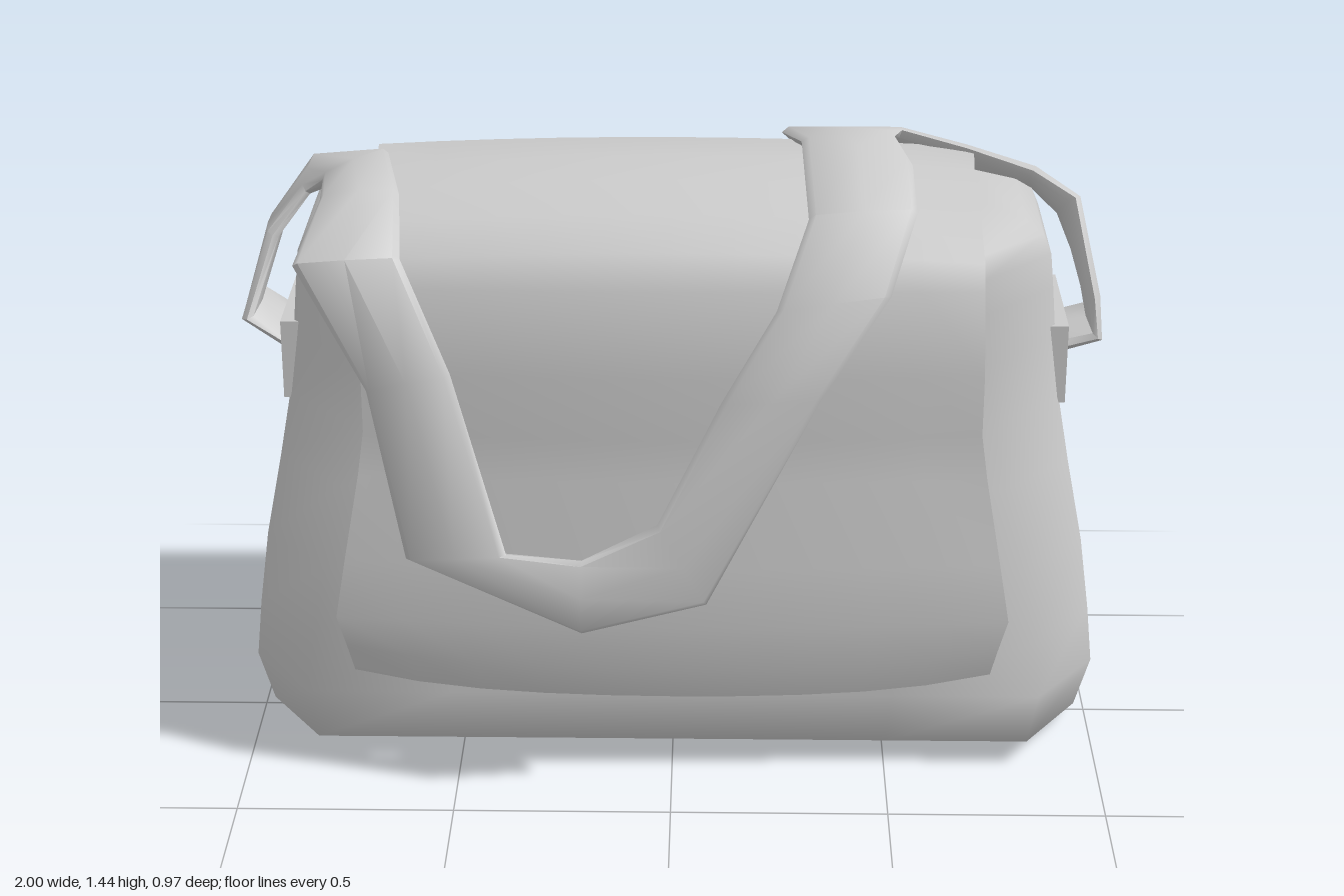
import * as THREE from 'three';
import { toCreasedNormals } from 'three/addons/utils/BufferGeometryUtils.js';

const material = new THREE.MeshStandardMaterial({ color: 0xcccccc });

// Closed skin over a row of equal-length rings, capped at both ends, always facing outward.
function loft(rings, crease) {
  const n = rings[0].length;
  const pts = rings.flat();
  const index = [];
  for (let r = 0; r < rings.length - 1; r++) {
    for (let i = 0; i < n; i++) {
      const j = (i + 1) % n;
      const a = r * n + i, b = r * n + j;
      index.push(a, b, a + n, b, b + n, a + n);
    }
  }
  for (const r of [0, rings.length - 1]) {
    const centre = new THREE.Vector3();
    rings[r].forEach((p) => centre.addScaledVector(p, 1 / n));
    const c = pts.push(centre) - 1;
    for (let i = 0; i < n; i++) {
      const a = r * n + i, b = r * n + ((i + 1) % n);
      if (r === 0) index.push(c, b, a);
      else index.push(c, a, b);
    }
  }
  let volume = 0;
  const cross = new THREE.Vector3();
  for (let i = 0; i < index.length; i += 3) {
    volume += pts[index[i]].dot(cross.crossVectors(pts[index[i + 1]], pts[index[i + 2]]));
  }
  if (volume < 0) index.reverse();
  const g = new THREE.BufferGeometry().setFromPoints(pts);
  g.setIndex(index);
  return toCreasedNormals(g, crease);
}

function part(name, geometry) {
  const mesh = new THREE.Mesh(geometry, material);
  mesh.name = name;
  return mesh;
}

// Rectangle with cut corners in plan at height y; the cuts widen towards the top.
function bodyRing([y, hx, front, back]) {
  const cz = (front + back) / 2, hz = (front - back) / 2;
  const ix = hx * (0.87 - 0.06 * Math.min(y, 1)), iz = hz * 0.5;
  return [
    [hx, -iz], [hx, iz], [ix, hz], [ix * 0.6, hz], [-ix * 0.6, hz], [-ix, hz],
    [-hx, iz], [-hx, -iz], [-ix, -hz], [-ix * 0.6, -hz], [ix * 0.6, -hz], [ix, -hz],
  ].map(([x, z]) => new THREE.Vector3(x, y, cz + z));
}

function createBody() {
  // height, half width, front z, back z
  const rows = [
    [0, 0.95, 0.07, -0.3], [0.06, 0.965, 0.265, -0.487], [0.18, 1.0, 0.265, -0.487],
    [0.32, 0.985, 0.265, -0.487], [0.5, 0.96, 0.255, -0.47], [0.7, 0.92, 0.235, -0.455],
    [0.85, 0.893, 0.215, -0.46], [1.0, 0.878, 0.21, -0.47], [1.12, 0.868, 0.205, -0.48],
    [1.2, 0.86, 0.2, -0.475], [1.25, 0.84, 0.19, -0.43], [1.28, 0.8, 0.16, -0.39],
    [1.3, 0.71, 0.08, -0.35], [1.315, 0.5, -0.01, -0.3],
  ];
  return part('bagBody', loft(rows.map(bodyRing), Math.PI));
}

// Padded flap: swept from the front hem over the top to the back.
function createFlap() {
  // height, z along the middle, half width
  const rows = [
    [0.21, 0.33, 0.74], [0.29, 0.35, 0.755], [0.4, 0.355, 0.775], [0.55, 0.35, 0.75],
    [0.75, 0.315, 0.715], [0.85, 0.31, 0.7], [1.0, 0.31, 0.7], [1.2, 0.285, 0.695],
    [1.275, 0.24, 0.695], [1.335, 0.15, 0.69], [1.37, 0.02, 0.69], [1.38, -0.12, 0.69],
    [1.37, -0.28, 0.7], [1.32, -0.39, 0.71], [1.24, -0.46, 0.71], [1.1, -0.465, 0.71],
  ];
  const cols = 10;
  const rings = rows.map(([y, z, hw], r) => {
    const p = rows[Math.max(r - 1, 0)], q = rows[Math.min(r + 1, rows.length - 1)];
    const dy = q[0] - p[0], dz = q[1] - p[1], len = Math.hypot(dy, dz);
    const ny = -dz / len, nz = dy / len;
    const hem = r < 2 ? 0.03 : 0;
    const sag = r < 9 ? 0.045 : r < 12 ? 0.035 : 0.02;
    const at = (u, depth) => {
      const d = depth + sag * u * u;
      return new THREE.Vector3(u * hw, y - ny * d + hem * u ** 4, z - nz * d);
    };
    const ring = [];
    for (let i = 0; i <= cols; i++) ring.push(at(-1 + (2 * i) / cols, 0));
    for (let i = cols; i >= 0; i--) ring.push(at(-1 + (2 * i) / cols, 0.04));
    return ring;
  });
  return part('frontFlap', loft(rings, 0.8));
}

// Loose shoulder strap: each row holds one point on either edge of the band.
function createStrap() {
  const rows = [
    [0.88, 0.97, 0.04, 0.88, 0.97, -0.17],
    [0.975, 1.0, 0.05, 0.975, 1.0, -0.17],
    [0.965, 1.09, 0.03, 0.965, 1.08, -0.19],
    [0.92, 1.3, -0.07, 0.91, 1.2, -0.25],
    [0.83, 1.33, -0.17, 0.86, 1.22, -0.38],
    [0.68, 1.36, -0.24, 0.68, 1.2, -0.47],
    [0.53, 1.39, -0.28, 0.46, 1.23, -0.485],
    [0.51, 1.395, -0.22, 0.25, 1.36, -0.35],
    [0.54, 1.4, 0, 0.29, 1.425, -0.09],
    [0.54, 1.365, 0.22, 0.3, 1.36, 0.25],
    [0.48, 1.22, 0.355, 0.23, 1.19, 0.37],
    [0.33, 1.0, 0.415, 0.11, 0.99, 0.415],
    [0.08, 0.52, 0.465, -0.03, 0.71, 0.45],
    [-0.2, 0.45, 0.475, -0.2, 0.62, 0.45],
    [-0.6, 0.59, 0.385, -0.37, 0.62, 0.425],
    [-0.68, 0.98, 0.335, -0.49, 1.03, 0.355],
    [-0.84, 1.25, 0.265, -0.6, 1.27, 0.275],
    [-0.8, 1.33, 0.06, -0.62, 1.345, 0.06],
    [-0.81, 1.33, -0.08, -0.67, 1.355, -0.2],
    [-0.86, 1.28, -0.14, -0.86, 1.28, -0.39],
    [-0.93, 1.2, -0.06, -0.95, 1.17, -0.28],
    [-0.985, 1.03, 0.04, -0.985, 1.03, -0.18],
    [-0.88, 0.96, 0.04, -0.88, 0.96, -0.17],
  ].map((v) => [new THREE.Vector3(...v.slice(0, 3)), new THREE.Vector3(...v.slice(3))]);
  const mid = (r) => rows[r][0].clone().add(rows[r][1]).multiplyScalar(0.5);
  const rings = rows.map(([a, b], r) => {
    const along = mid(Math.min(r + 1, rows.length - 1)).sub(mid(Math.max(r - 1, 0)));
    const normal = along.cross(b.clone().sub(a)).normalize();
    const at = (u, h) => a.clone().lerp(b, u).addScaledVector(normal, h);
    return [at(0, 0), at(0.06, 0.014), at(0.5, 0.022), at(0.94, 0.014),
      at(1, 0), at(0.94, -0.014), at(0.5, -0.018), at(0.06, -0.014)];
  });
  return part('shoulderStrap', loft(rings, 1.0));
}

// Side tabs that hold the strap ends.
function createTab(side) {
  const tab = part(side > 0 ? 'leftStrapTab' : 'rightStrapTab',
    new THREE.BoxGeometry(0.09, 0.19, 0.33));
  tab.position.set(side * 0.862, 0.935, -0.115);
  return tab;
}

export function createModel() {
  const bag = new THREE.Group();
  bag.name = 'shoulderBag';
  bag.add(createBody(), createFlap(), createStrap(), createTab(1), createTab(-1));
  return bag;
}
